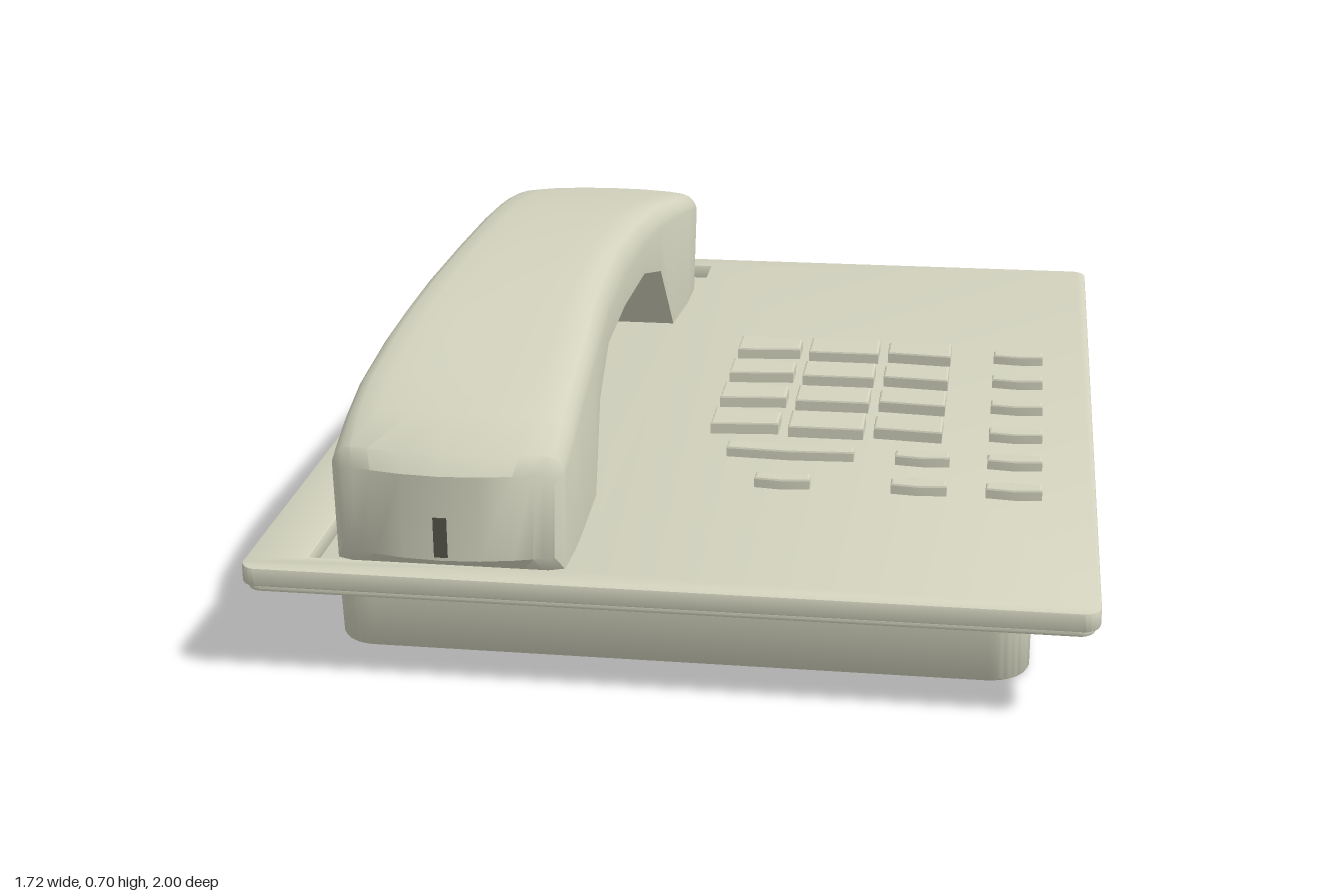
import * as THREE from 'three';
import { toCreasedNormals } from 'three/addons/utils/BufferGeometryUtils.js';

const shell = new THREE.MeshStandardMaterial({ color: 0xd2d2be });
const dark = new THREE.MeshStandardMaterial({ color: 0x55554a });
const SLOPE = 0.085; // fall of the top plate towards the front

// Closed outline of a rounded rectangle in plan
function roundedRect(w, d, r) {
  const s = new THREE.Shape(), x = w / 2, y = d / 2;
  s.moveTo(x, y - r);
  s.absarc(x - r, y - r, r, 0, Math.PI / 2);
  s.absarc(-x + r, y - r, r, Math.PI / 2, Math.PI);
  s.absarc(-x + r, -y + r, r, Math.PI, Math.PI * 1.5);
  s.absarc(x - r, -y + r, r, Math.PI * 1.5, Math.PI * 2);
  return s;
}

// Extrude a plan outline upwards from y0 to y1 with a bevel kept inside the outline
function slab(shape, y0, y1, bevel) {
  const g = new THREE.ExtrudeGeometry(shape, {
    depth: y1 - y0 - 2 * bevel, bevelEnabled: true, bevelThickness: bevel,
    bevelSize: bevel, bevelOffset: -bevel, bevelSegments: 2, curveSegments: 8,
  });
  return g.rotateX(-Math.PI / 2).translate(0, y0 + bevel, 0);
}

function moveVertices(g, rule) {
  const p = g.attributes.position, v = new THREE.Vector3();
  for (let i = 0; i < p.count; i++) {
    rule(v.fromBufferAttribute(p, i));
    p.setXYZ(i, v.x, v.y, v.z);
  }
  return g;
}
const tilt = (g) => moveVertices(g, (v) => { v.y -= SLOPE * v.z; });

function part(name, g, material = shell, crease = 0.55) {
  const m = new THREE.Mesh(toCreasedNormals(g, crease), material);
  m.name = name;
  return m;
}

// Handset: cross-sections running from the front end to the back end
function handsetGeometry() {
  // z, crown, seam, underside, half width
  const sections = [
    [0.932, 0.43, 0.41, 0.25, 0.226], [0.905, 0.467, 0.425, 0.215, 0.243],
    [0.8, 0.52, 0.46, 0.22, 0.246], [0.68, 0.565, 0.5, 0.23, 0.244],
    [0.51, 0.61, 0.545, 0.24, 0.237], [0.41, 0.635, 0.565, 0.44, 0.23],
    [0.25, 0.665, 0.592, 0.52, 0.219], [0, 0.69, 0.614, 0.54, 0.21],
    [-0.25, 0.697, 0.628, 0.555, 0.213], [-0.435, 0.688, 0.63, 0.515, 0.222],
    [-0.57, 0.675, 0.622, 0.335, 0.232], [-0.75, 0.65, 0.605, 0.35, 0.245],
    [-0.9, 0.622, 0.583, 0.36, 0.245], [-0.94, 0.59, 0.57, 0.4, 0.23],
  ];
  // Half of the crown curve: across, up
  const half = [[-1, 0], [-0.985, 0.25], [-0.955, 0.55], [-0.9, 0.8], [-0.82, 0.93],
    [-0.65, 0.98], [-0.35, 1]];
  const crown = [...half, [0, 1], ...half.map(([u, v]) => [-u, v]).reverse()];
  const n = crown.length, ring = 2 * n, pos = [], idx = [];
  const put = (u, y, z, w) => {
    const end = THREE.MathUtils.smoothstep(Math.abs(z), 0.65, 0.93);
    const lean = z < 0 ? -0.15 * (y - 0.42) : 0; // back end leans outwards
    pos.push(u * w, y, z - Math.sign(z) * 0.05 * end * u * u + lean * end);
  };
  for (const [z, top, seam, under, w] of sections) {
    for (const [u, v] of crown) put(u, seam + v * (top - seam), z, w);
    for (const [u] of [...crown].reverse()) put(u * 0.985, under, z, w);
  }
  const quad = (a, b, c, d) => idx.push(a, b, c, a, c, d);
  for (let i = 0; i < sections.length - 1; i++) {
    for (let j = 0; j < ring; j++) {
      const k = (j + 1) % ring, a = i * ring, b = a + ring;
      quad(a + j, a + k, b + k, b + j);
    }
  }
  const last = (sections.length - 1) * ring;
  for (let j = 0; j < n - 1; j++) {
    const lo = ring - 1 - j;
    quad(lo, lo - 1, j + 1, j);
    quad(last + j, last + j + 1, last + lo - 1, last + lo);
  }
  const g = new THREE.BufferGeometry();
  g.setAttribute('position', new THREE.Float32BufferAttribute(pos, 3));
  g.setIndex(idx);
  return g;
}

// Key outline with separate depths at its left side, middle and right side
function keyShape(w, left, mid, right) {
  const x = w / 2;
  return new THREE.Shape([
    [-x, -left / 2], [0, -mid / 2], [x, -right / 2],
    [x, right / 2], [0, mid / 2], [-x, left / 2],
  ].map(([a, b]) => new THREE.Vector2(a, b)));
}

function key(name, x, z, shape, height) {
  return part(name, tilt(slab(shape, 0.318, 0.325 + height, 0.005).translate(x, 0, z)), shell, 0.3);
}

export function createModel() {
  const phone = new THREE.Group();
  phone.name = 'deskTelephone';

  // Wedge base, its top following the slope of the plate
  const base = moveVertices(slab(roundedRect(1.46, 1.68, 0.09), 0, 0.3, 0.012), (v) => {
    const t = v.y / 0.3;
    v.z += -0.012 + (t - 0.5) * 0.02;
    v.y = t * (0.288 - SLOPE * v.z);
  });
  phone.add(part('base', base));

  // Sloping plate: solid lower tray and upper deck with the handset recess
  phone.add(part('tray', tilt(slab(roundedRect(1.705, 1.985, 0.035), 0.27, 0.29, 0.008))));
  const deck = roundedRect(1.72, 2, 0.035);
  deck.holes.push(new THREE.Path([[-0.73, -0.935], [-0.73, 0.94], [-0.18, 0.94], [-0.18, -0.935]]
    .map(([x, y]) => new THREE.Vector2(x, y))));
  phone.add(part('deck', tilt(slab(deck, 0.285, 0.325, 0.005))));

  // Handset with the cord socket in its front end
  const handset = new THREE.Group();
  handset.name = 'handset';
  handset.position.x = -0.455;
  handset.add(part('handsetBody', handsetGeometry()));
  const socket = part('handsetSocket', new THREE.BoxGeometry(0.028, 0.085, 0.02), dark);
  socket.position.set(0, 0.3, 0.924);
  handset.add(socket);
  phone.add(handset);

  // Cord sockets in the base
  const sideSocket = part('sideSocket', new THREE.BoxGeometry(0.01, 0.06, 0.035), dark);
  sideSocket.position.set(-0.727, 0.17, -0.74);
  const backSocket = part('backSocket', new THREE.BoxGeometry(0.035, 0.06, 0.01), dark);
  backSocket.position.set(0.6, 0.17, -0.847);
  phone.add(sideSocket, backSocket);

  // Dialling keys: outer columns narrow towards the middle one
  const keypad = new THREE.Group();
  keypad.name = 'keypad';
  const columns = [
    [0.068, keyShape(0.155, 0.092, 0.08, 0.068)],
    [0.255, keyShape(0.172, 0.092, 0.092, 0.092)],
    [0.442, keyShape(0.155, 0.068, 0.08, 0.092)],
  ];
  for (const z of [-0.29, -0.133, 0.024, 0.181]) {
    for (const [x, shape] of columns) keypad.add(key('dialKey', x, z, shape, 0.028));
  }

  // Function keys and the long bar
  const small = keyShape(0.12, 0.028, 0.04, 0.028);
  const spots = [-0.29, -0.133, 0.027, 0.19, 0.34, 0.49].map((z) => [0.685, z]);
  spots.push([0.482, 0.34], [0.482, 0.49], [0.187, 0.49]);
  for (const [x, z] of spots) keypad.add(key('functionKey', x, z, small, 0.024));
  keypad.add(key('barKey', 0.187, 0.333, keyShape(0.285, 0.032, 0.046, 0.032), 0.024));
  phone.add(keypad);

  return phone;
}
